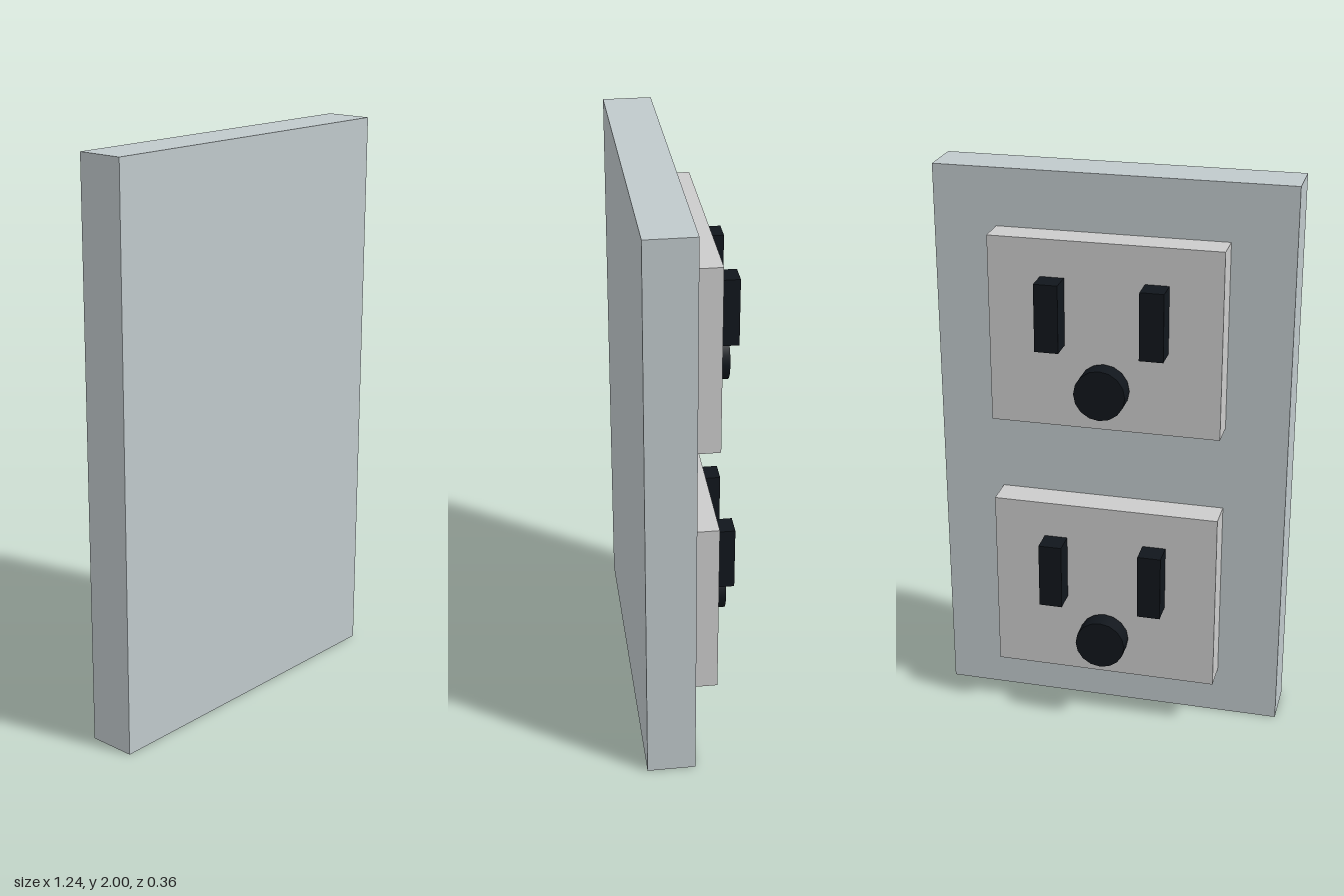
import * as THREE from 'three';

const plateMat = new THREE.MeshStandardMaterial({ color: 0xc0c9cc });
const panelMat = new THREE.MeshStandardMaterial({ color: 0xcfcfd2 });
const darkMat = new THREE.MeshStandardMaterial({ color: 0x11161c });

// Box spanning zBack..zFront, centred on x, y
function block(name, mat, w, h, zBack, zFront, x, y) {
  const mesh = new THREE.Mesh(new THREE.BoxGeometry(w, h, zFront - zBack), mat);
  mesh.name = name;
  mesh.position.set(x, y, (zBack + zFront) / 2);
  return mesh;
}

// One outlet: raised panel, two upright slots and a round ground pin facing -z
function createSocket(name, y) {
  const socket = new THREE.Group();
  socket.name = name;
  socket.position.y = y;
  socket.add(block('socketPanel', panelMat, 0.8, 0.66, -0.096, 0.012, 0, 0));
  for (const [side, s] of [['left', 1], ['right', -1]]) {
    socket.add(block(side + 'Slot', darkMat, 0.082, 0.236, -0.18, -0.096, s * 0.178, 0.083));
  }
  const ground = new THREE.Mesh(new THREE.CylinderGeometry(0.089, 0.089, 0.068, 16), darkMat);
  ground.name = 'groundPin';
  ground.rotation.x = Math.PI / 2;
  ground.position.set(0, -0.177, -0.139);
  socket.add(ground);
  return socket;
}

export function createModel() {
  const model = new THREE.Group();
  model.name = 'wallOutlet';
  model.add(block('wallPlate', plateMat, 1.236, 2, 0.012, 0.18, 0, 1));
  model.add(createSocket('upperSocket', 1.47));
  model.add(createSocket('lowerSocket', 0.505));
  return model;
}
